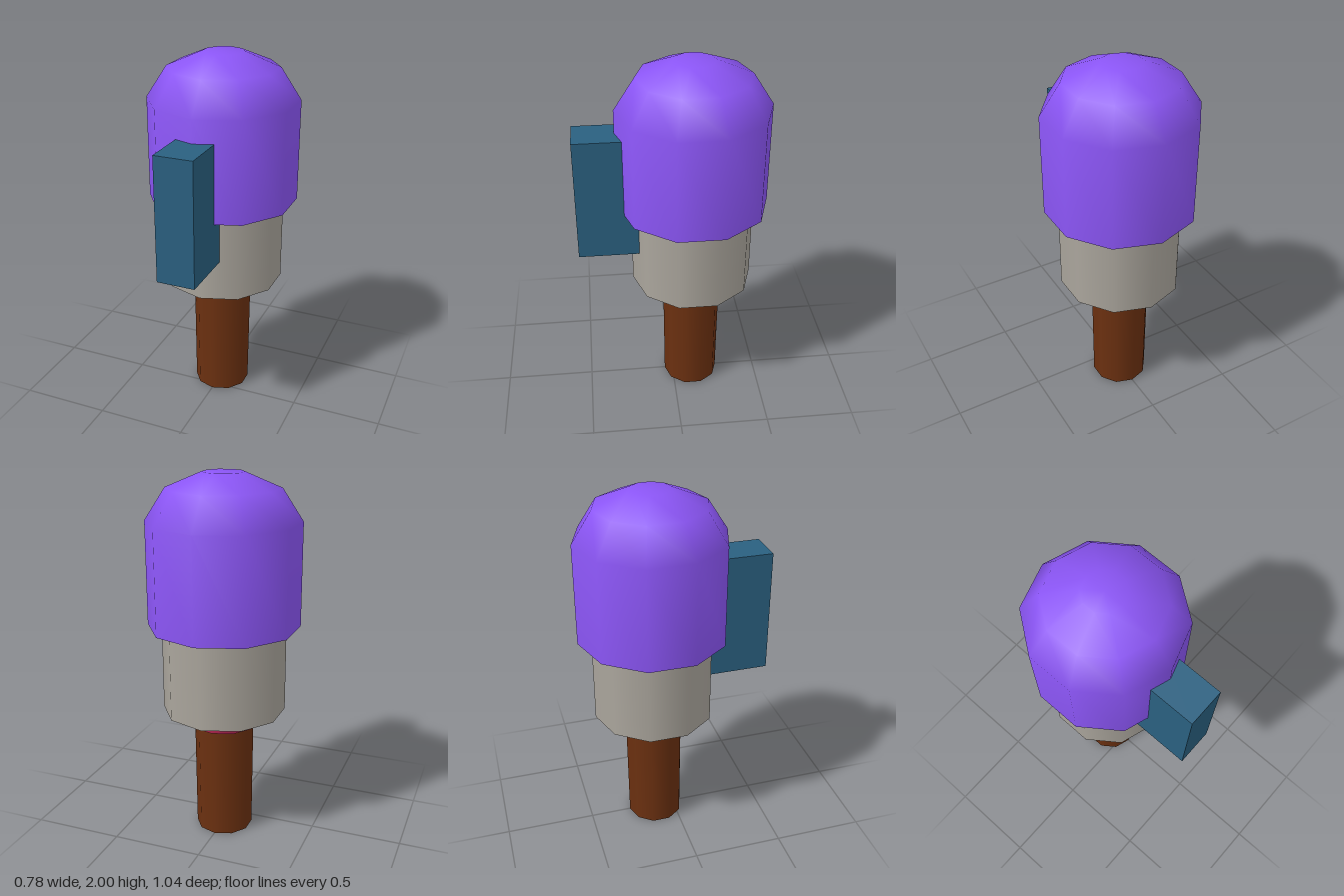
import * as THREE from 'three';
import { mergeGeometries } from 'three/addons/utils/BufferGeometryUtils.js';

const SIDES = 10;
const AXIS_Z = -0.11;

// Ten-sided turned part; each run of [radius, y] points is smooth, with sharp edges between runs
function turned(name, color, runs) {
  const pieces = runs.map((run) =>
    new THREE.LatheGeometry(run.map(([r, y]) => new THREE.Vector2(r, y)), SIDES));
  const mesh = new THREE.Mesh(
    mergeGeometries(pieces),
    new THREE.MeshStandardMaterial({ color, side: THREE.DoubleSide }));
  mesh.name = name;
  mesh.position.z = AXIS_Z;
  return mesh;
}

export function createModel() {
  const model = new THREE.Group();
  model.name = 'domedPost';

  // Slightly tapered shaft with a closed foot
  model.add(turned('shaft', 0x6b3010, [
    [[0, 0], [0.157, 0]],
    [[0.157, 0], [0.163, 0.68]],
  ]));

  // Flared collar running up inside the sleeve
  model.add(turned('collar', 0xc02858, [
    [[0, 0.635], [0.19, 0.635]],
    [[0.19, 0.635], [0.25, 0.88]],
  ]));

  // Hollow sleeve: inner ceiling, inner wall, lower rim, outer wall
  model.add(turned('sleeve', 0xaaa59c, [
    [[0, 0.88], [0.295, 0.88]],
    [[0.295, 0.88], [0.295, 0.735], [0.31, 0.715]],
    [[0.31, 0.715], [0.335, 0.715]],
    [[0.335, 0.715], [0.335, 1.25]],
  ]));

  // Rounded cap with a flat underside
  model.add(turned('cap', 0x8b55f5, [
    [[0, 1.193], [0.41, 1.193]],
    [[0.41, 1.193], [0.41, 1.75], [0.3, 1.92], [0.11, 2], [0, 2]],
  ]));

  // Upright block set into the front
  const block = new THREE.Mesh(
    new THREE.BoxGeometry(0.21, 0.682, 0.36),
    new THREE.MeshStandardMaterial({ color: 0x2a6080 }));
  block.name = 'frontBlock';
  block.position.set(0, 1.284, 0.34);
  model.add(block);

  return model;
}
